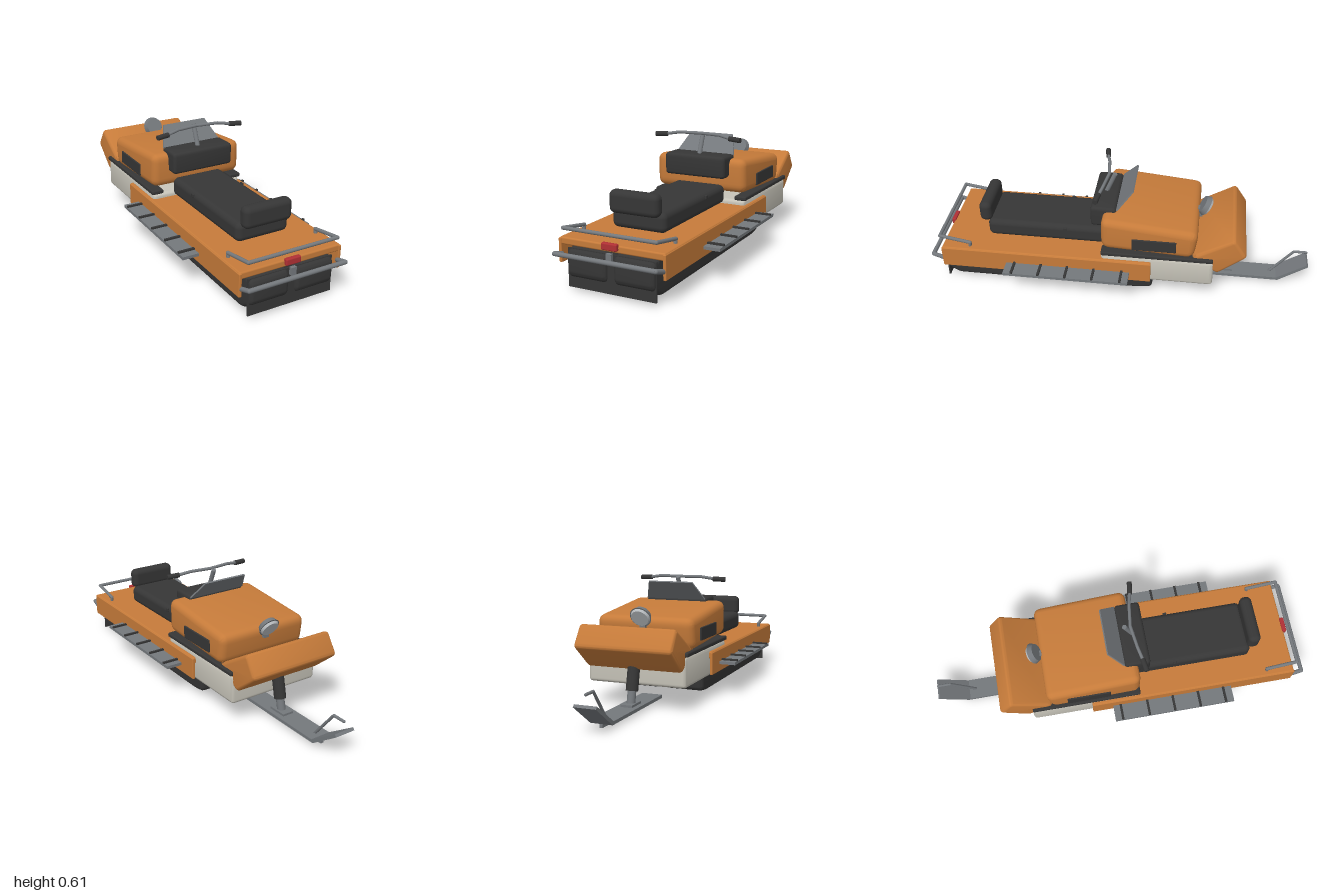
import * as THREE from 'three';
import { toCreasedNormals } from 'three/addons/utils/BufferGeometryUtils.js';
import { RoundedBoxGeometry } from 'three/addons/geometries/RoundedBoxGeometry.js';

function material(name, color) {
  const m = new THREE.MeshStandardMaterial({ color });
  m.name = name;
  return m;
}

export function createModel() {
  const root = new THREE.Group();
  root.name = 'snowVehicle';
  const orange = material('orange paint', 0xc67b3a);
  const black = material('black vinyl', 0x363636);
  const steel = material('grey steel', 0x74787c);
  const cream = material('pale hull', 0xc6c3b8);
  const red = material('red lens', 0xb03034);
  const glass = material('clear lens', 0xb9bdc0);
  const screen = material('windscreen grey', 0x74787c);
  screen.side = THREE.DoubleSide;

  const add = (name, geometry, mat, x = 0, y = 0, z = 0) => {
    const mesh = new THREE.Mesh(geometry, mat);
    mesh.name = name;
    mesh.position.set(x, y, z);
    root.add(mesh);
    return mesh;
  };
  // Box given by its limits; r rounds the edges
  const box = (name, mat, [x0, x1], [y0, y1], [z0, z1], r = 0) => {
    const s = [x1 - x0, y1 - y0, z1 - z0];
    const g = r ? new RoundedBoxGeometry(...s, 4, r) : new THREE.BoxGeometry(...s);
    return add(name, g, mat, (x0 + x1) / 2, (y0 + y1) / 2, (z0 + z1) / 2);
  };
  // Side profile of [z, y] corners with rounded corners, extruded across x
  const slab = (name, mat, pts, x0, x1, radius, bevel) => {
    const v = pts.map(p => new THREE.Vector2(...p));
    const shape = new THREE.Shape();
    v.forEach((p, i) => {
      const prev = v[(i + v.length - 1) % v.length], next = v[(i + 1) % v.length];
      const a = prev.clone().sub(p).setLength(radius).add(p);
      const b = next.clone().sub(p).setLength(radius).add(p);
      if (i) shape.lineTo(a.x, a.y); else shape.moveTo(a.x, a.y);
      shape.quadraticCurveTo(p.x, p.y, b.x, b.y);
    });
    shape.closePath();
    const depth = x1 - x0 - 2 * bevel;
    const g = new THREE.ExtrudeGeometry(shape, {
      depth, curveSegments: 6, bevelEnabled: true, bevelThickness: bevel,
      bevelSize: bevel, bevelOffset: -bevel, bevelSegments: 4
    });
    g.translate(0, 0, -depth / 2).rotateY(-Math.PI / 2);
    return add(name, toCreasedNormals(g, 0.6), mat, (x0 + x1) / 2);
  };
  // Straight rod between two points
  const rod = (name, mat, a, b, r, r2 = r) => {
    const p = new THREE.Vector3(...a), q = new THREE.Vector3(...b);
    const mesh = add(name, new THREE.CylinderGeometry(r2, r, p.distanceTo(q), 20), mat);
    mesh.position.copy(p).add(q).multiplyScalar(0.5);
    mesh.quaternion.setFromUnitVectors(new THREE.Vector3(0, 1, 0), q.sub(p).normalize());
    return mesh;
  };
  // Bent pipe: rods with balls at the bends
  const pipe = (name, mat, pts, r) => pts.forEach((p, i) => {
    add(name + 'Joint', new THREE.SphereGeometry(r, 14, 10), mat, ...p);
    if (i) rod(name, mat, pts[i - 1], p, r);
  });

  // Rear tunnel
  box('tunnelTop', orange, [-0.272, 0.272], [0.21, 0.245], [-0.17, 0.932], 0.008);
  box('tunnelLining', black, [-0.225, 0.225], [0.12, 0.21], [-0.12, 0.9]);

  // Parts repeated on each side
  for (const s of [-1, 1]) {
    const span = (a, b) => s > 0 ? [a, b] : [-b, -a];
    box('tunnelSide', orange, span(0.26, 0.275), [0.125, 0.24], [-0.17, 0.935], 0.004);
    slab('track', black, [[-0.1, 0.03], [0.88, 0.03], [0.95, 0.08], [0.95, 0.19], [0.9, 0.208],
      [-0.15, 0.208], [-0.185, 0.16], [-0.175, 0.04]], ...span(0.018, 0.225), 0.022, 0.02);
    box('runningBoard', steel, span(0.27, 0.36), [0.163, 0.178], [-0.06, 0.59]);
    for (const z of [0.545, 0.405, 0.265, 0.125, -0.02])
      box('boardRib', black, span(0.275, 0.36), [0.178, 0.187], [z - 0.006, z + 0.006]);
    box('hullTrim', black, span(0.2, 0.265), [0.268, 0.291], [-0.485, 0.09], 0.008);
    box('hoodVent', black, span(0.25, 0.262), [0.32, 0.385], [-0.295, -0.07], 0.003);
    box('seatStrapButton', black, span(0.138, 0.148), [0.315, 0.335], [0.285, 0.305], 0.003);
    rod('handlebarGrip', black, [s * 0.178, 0.59, 0.105], [s * 0.243, 0.587, 0.115], 0.013);
  }

  // Snow flap, tail light and rear bars
  const flap = box('snowFlap', black, [-0.227, 0.227], [0.018, 0.2], [0.925, 0.933]);
  flap.rotation.x = -0.03;
  box('tailLight', red, [-0.04, 0.04], [0.221, 0.254], [0.925, 0.948], 0.006);
  box('tailBracket', steel, [-0.014, 0.014], [0.17, 0.208], [0.935, 0.952]);
  pipe('grabRail', steel, [[-0.24, 0.225, 0.79], [-0.24, 0.265, 0.785], [-0.238, 0.293, 0.945],
    [0.238, 0.293, 0.945], [0.24, 0.265, 0.785], [0.24, 0.225, 0.79]], 0.009);
  pipe('rearBumper', steel, [[-0.262, 0.165, 0.93], [-0.258, 0.183, 0.988],
    [0.258, 0.183, 0.988], [0.262, 0.165, 0.93]], 0.011);

  // Front hull
  slab('hull', cream, [[-0.49, 0.118], [0.09, 0.118], [0.09, 0.27], [-0.49, 0.27]], -0.257, 0.257, 0.02, 0.018);

  // Seat, backrest and console pad
  box('seat', black, [-0.143, 0.143], [0.245, 0.343], [0.07, 0.71], 0.03);
  box('backrest', black, [-0.13, 0.13], [0.325, 0.435], [0.69, 0.755], 0.028);
  slab('consolePad', black, [[0.02, 0.385], [0.153, 0.385], [0.153, 0.5], [0.02, 0.497]], -0.17, 0.17, 0.022, 0.016);

  // Hood and nose cowl
  slab('hood', orange, [[-0.385, 0.28], [0.09, 0.305], [0.09, 0.483], [-0.405, 0.435]], -0.255, 0.255, 0.045, 0.035);
  slab('noseCowl', orange, [[-0.51, 0.195], [-0.37, 0.28], [-0.385, 0.3], [-0.585, 0.42], [-0.655, 0.315]],
    -0.25, 0.25, 0.02, 0.018);

  // Headlight
  rod('headlightShell', steel, [0, 0.452, -0.412], [0, 0.44, -0.434], 0.045, 0.055);
  rod('headlightLens', glass, [0, 0.44, -0.434], [0, 0.434, -0.444], 0.05, 0.044);
  box('headlightFoot', steel, [-0.015, 0.015], [0.38, 0.43], [-0.415, -0.39]);

  // Windscreen: tapered plate leaning forward
  const pane = new THREE.Shape([[-0.165, 0], [0.165, 0], [0.122, 0.123], [-0.122, 0.123]]
    .map(p => new THREE.Vector2(...p)));
  const paneMesh = add('windscreen', new THREE.ExtrudeGeometry(pane, { depth: 0.008, bevelEnabled: false }),
    screen, 0, 0.485, 0.015);
  paneMesh.rotation.x = -0.7;

  // Steering
  rod('steeringColumn', steel, [0, 0.48, 0.095], [0, 0.6, 0.045], 0.012);
  pipe('handlebar', steel, [[-0.185, 0.59, 0.106], [-0.115, 0.601, 0.09], [0, 0.601, 0.075],
    [0.115, 0.601, 0.09], [0.185, 0.59, 0.106]], 0.008);

  // Front ski with strut, keel and tip loop
  rod('strutSleeve', black, [0, 0.1, -0.535], [0, 0.24, -0.505], 0.03);
  rod('strutShaft', steel, [0, 0.03, -0.55], [0, 0.12, -0.53], 0.021);
  box('skiFoot', steel, [-0.03, 0.03], [0.03, 0.045], [-0.6, -0.5]);
  const skiProfile = [[-0.3, 0.018], [-0.3, 0.034], [-0.835, 0.034], [-0.985, 0.135], [-0.995, 0.124], [-0.845, 0.018]];
  const skiShape = new THREE.Shape(skiProfile.map(p => new THREE.Vector2(...p)));
  add('ski', new THREE.ExtrudeGeometry(skiShape, { depth: 0.11, bevelEnabled: false })
    .translate(0, 0, -0.055).rotateY(-Math.PI / 2), steel);
  box('skiKeel', steel, [-0.008, 0.008], [0.002, 0.019], [-0.85, -0.32]);
  pipe('skiLoop', steel, [[0, 0.034, -0.8], [0, 0.18, -0.915], [0, 0.18, -0.98]], 0.007);

  return root;
}
